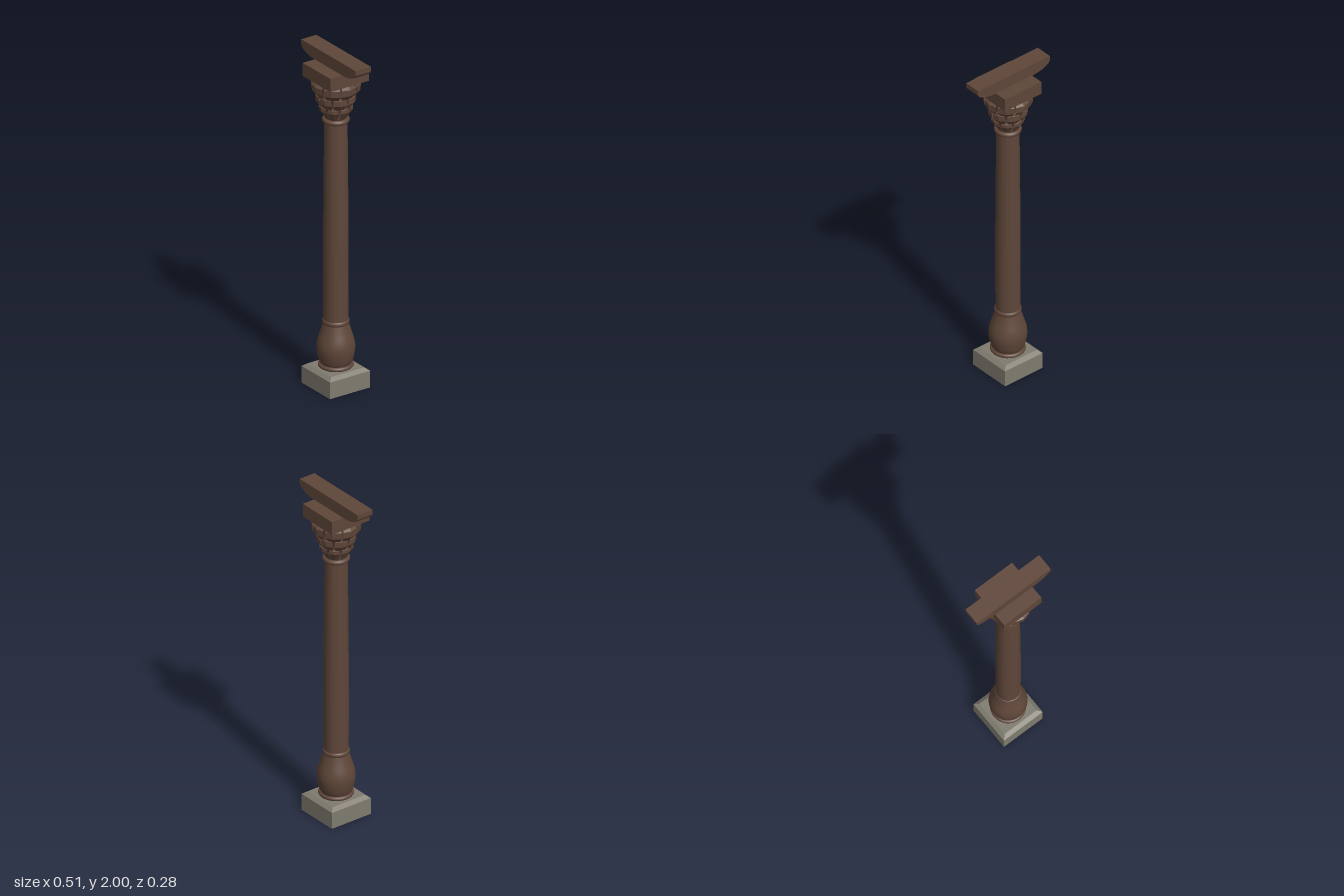
import * as THREE from 'three';

const wood = new THREE.MeshStandardMaterial({ color: 0x5f4639 });
wood.name = 'brown wood';
wood.side = THREE.DoubleSide;
const carved = wood.clone();
carved.flatShading = true;
const stone = new THREE.MeshStandardMaterial({ color: 0x7f7b6f });
stone.name = 'grey stone';
stone.side = THREE.DoubleSide;
stone.flatShading = true;

export function createModel() {
  const model = new THREE.Group();
  model.name = 'column';

  const add = (name, geometry, material, parent = model) => {
    const mesh = new THREE.Mesh(geometry, material);
    mesh.name = name;
    parent.add(mesh);
    return mesh;
  };
  // Turned part from [radius, height] points
  const turned = (name, points, sides = 32, material = wood) =>
    add(name, new THREE.LatheGeometry(points.map(p => new THREE.Vector2(...p)), sides), material);
  // Smooth turned part through the same kind of points
  const turnedCurve = (name, points) => {
    const curve = new THREE.SplineCurve(points.map(p => new THREE.Vector2(...p)));
    return add(name, new THREE.LatheGeometry(curve.getPoints(20), 32), wood);
  };
  // Rounded collar
  const collar = (name, y0, y1, inner, outer) => {
    const points = [];
    for (let i = 0; i <= 8; i++) {
      const a = (i / 8) * Math.PI;
      points.push([inner + (outer - inner) * Math.sin(a), (y0 + y1) / 2 - ((y1 - y0) / 2) * Math.cos(a)]);
    }
    return turned(name, points);
  };

  // Hollow square plinth with a bevelled top, open underneath
  const plinth = new THREE.LatheGeometry(
    [[0.135, 0], [0.135, 0.1], [0.112, 0.118], [0.06, 0.118]]
      .map(([half, y]) => new THREE.Vector2(half * Math.SQRT2, y)), 4);
  plinth.rotateY(Math.PI / 4);
  add('plinth', plinth, stone);

  // Turned base and shaft
  turned('baseUnderside', [[0, 0.117], [0.09, 0.117]]);
  collar('baseCollar', 0.117, 0.142, 0.085, 0.099);
  turnedCurve('baseBulb', [[0.084, 0.138], [0.096, 0.165], [0.107, 0.225], [0.102, 0.275], [0.084, 0.335], [0.07, 0.385]]);
  collar('lowerCollar', 0.375, 0.405, 0.066, 0.076);
  turnedCurve('shaft', [[0.069, 0.4], [0.07, 0.7], [0.0695, 0.95], [0.067, 1.3], [0.064, 1.6]]);
  collar('upperCollar', 1.588, 1.618, 0.062, 0.077);

  // Capital: bell-shaped core wrapped in three tiers of folded leaves
  turned('capitalBell', [[0.057, 1.61], [0.064, 1.66], [0.085, 1.72], [0.1, 1.79], [0.115, 1.853]], 16, carved);

  // Leaf rows are [ridge radius, height, half angle]
  const leafGeometry = rows => {
    const positions = [], index = [];
    rows.forEach(([r, y, half], i) => {
      for (const side of [-1, 0, 1]) {
        const edge = side === 0 ? 1 : 0.97;
        positions.push(r * edge * Math.sin(side * half), y, r * edge * Math.cos(half * side));
      }
      if (i === 0) return;
      for (let j = 0; j < 2; j++) {
        const a = (i - 1) * 3 + j, b = i * 3 + j;
        index.push(a, a + 1, b, a + 1, b + 1, b);
      }
    });
    const g = new THREE.BufferGeometry();
    g.setAttribute('position', new THREE.Float32BufferAttribute(positions, 3));
    g.setIndex(index);
    g.computeVertexNormals();
    return g;
  };
  const tiers = [
    ['lowerLeaf', 0, [[0.058, 1.612, 0.3], [0.078, 1.645, 0.34], [0.095, 1.67, 0.37], [0.095, 1.69, 0.32], [0.074, 1.7, 0.3]]],
    ['middleLeaf', 0.5, [[0.07, 1.66, 0.28], [0.092, 1.695, 0.33], [0.114, 1.725, 0.37], [0.115, 1.757, 0.34], [0.088, 1.768, 0.3]]],
    ['upperLeaf', 0, [[0.085, 1.72, 0.28], [0.108, 1.757, 0.33], [0.137, 1.79, 0.37], [0.139, 1.828, 0.35], [0.108, 1.85, 0.33]]],
  ];
  const leaves = new THREE.Group();
  leaves.name = 'capitalLeaves';
  model.add(leaves);
  for (const [name, turn, rows] of tiers) {
    const geometry = leafGeometry(rows);
    for (let k = 0; k < 8; k++) {
      add(name, geometry, carved, leaves).rotation.y = ((k + turn) * Math.PI) / 4;
    }
  }

  // Square block above the capital
  const block = new THREE.BoxGeometry(0.26, 0.08, 0.26);
  block.translate(0, 1.887, 0);
  add('abacus', block, carved);

  // Bracket beam with rounded lower ends
  const shape = new THREE.Shape();
  shape.moveTo(-0.257, 2);
  shape.lineTo(-0.257, 1.972);
  shape.bezierCurveTo(-0.25, 1.945, -0.2, 1.93, -0.14, 1.926);
  shape.lineTo(0.14, 1.926);
  shape.bezierCurveTo(0.2, 1.93, 0.25, 1.945, 0.257, 1.972);
  shape.lineTo(0.257, 2);
  const beam = new THREE.ExtrudeGeometry(shape, { depth: 0.102, bevelEnabled: false, curveSegments: 8 });
  beam.translate(0, 0, -0.052);
  add('bracketBeam', beam, carved);

  return model;
}
